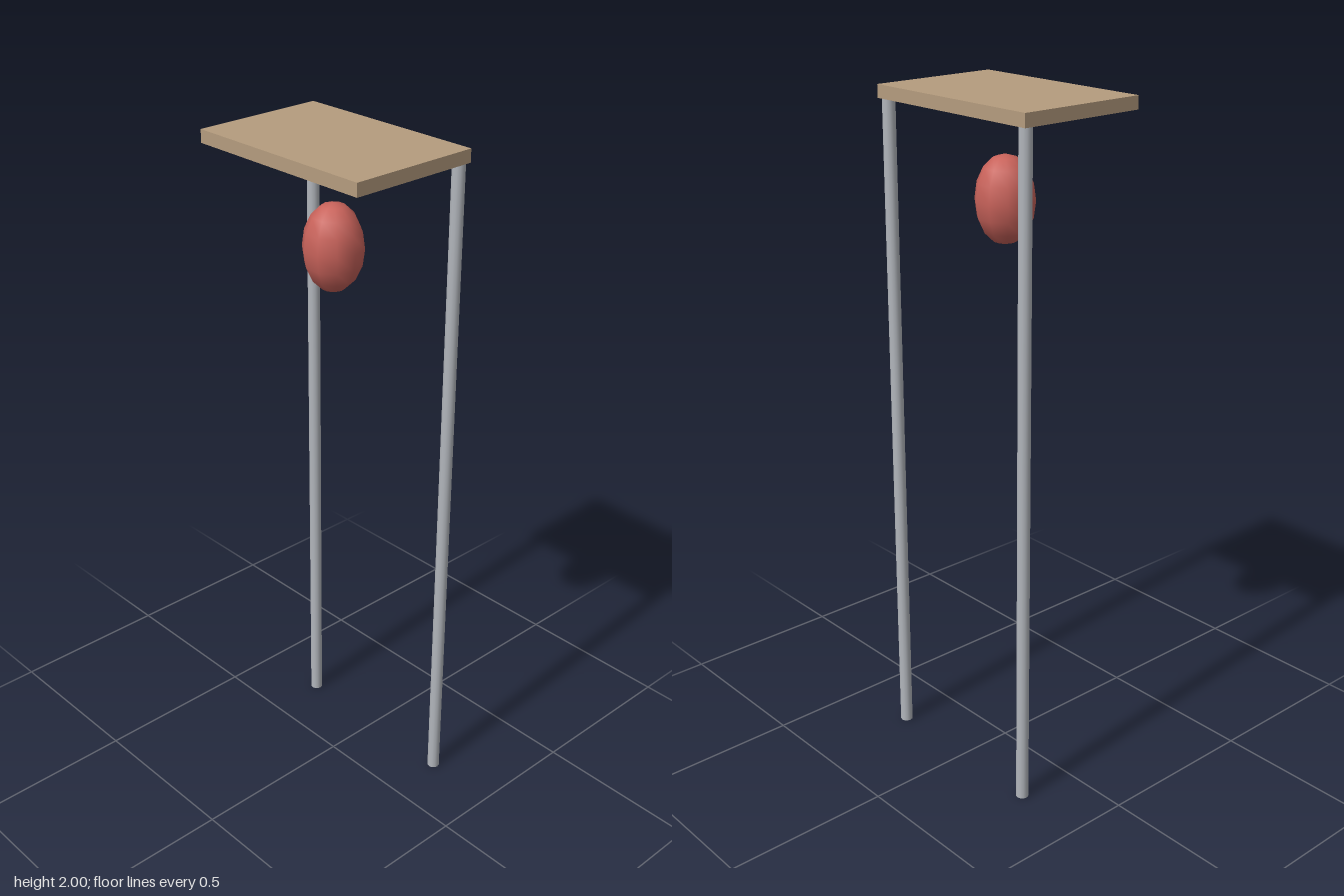
import * as THREE from 'three';

export function createModel() {
  const model = new THREE.Group();
  const mat = (name, color) => {
    const m = new THREE.MeshStandardMaterial({ color });
    m.name = name;
    return m;
  };
  const wood = mat('wood', 0xb59c7e);
  const metal = mat('metal', 0xb2b6bc);
  const red = mat('red leather', 0xc8625a);

  const add = (name, geometry, material, x, y, z) => {
    const mesh = new THREE.Mesh(geometry, material);
    mesh.name = name;
    mesh.position.set(x, y, z);
    model.add(mesh);
    return mesh;
  };

  // Overhead board
  add('board', new THREE.BoxGeometry(0.594, 0.037, 0.396), wood, 0, 1.9815, 0);

  // Two posts under the rear edge
  const post = new THREE.CylinderGeometry(0.0185, 0.0185, 1.963, 12);
  for (const [name, x] of [['leftPost', 0.276], ['rightPost', -0.276]]) {
    add(name, post, metal, x, 0.9815, -0.177);
  }

  // Hanging bag, a stretched low-resolution sphere with smooth shading
  const bag = new THREE.SphereGeometry(0.086, 10, 8);
  bag.scale(1, 0.125 / 0.086, 1);
  add('bag', bag, red, 0, 1.706, 0);

  return model;
}
